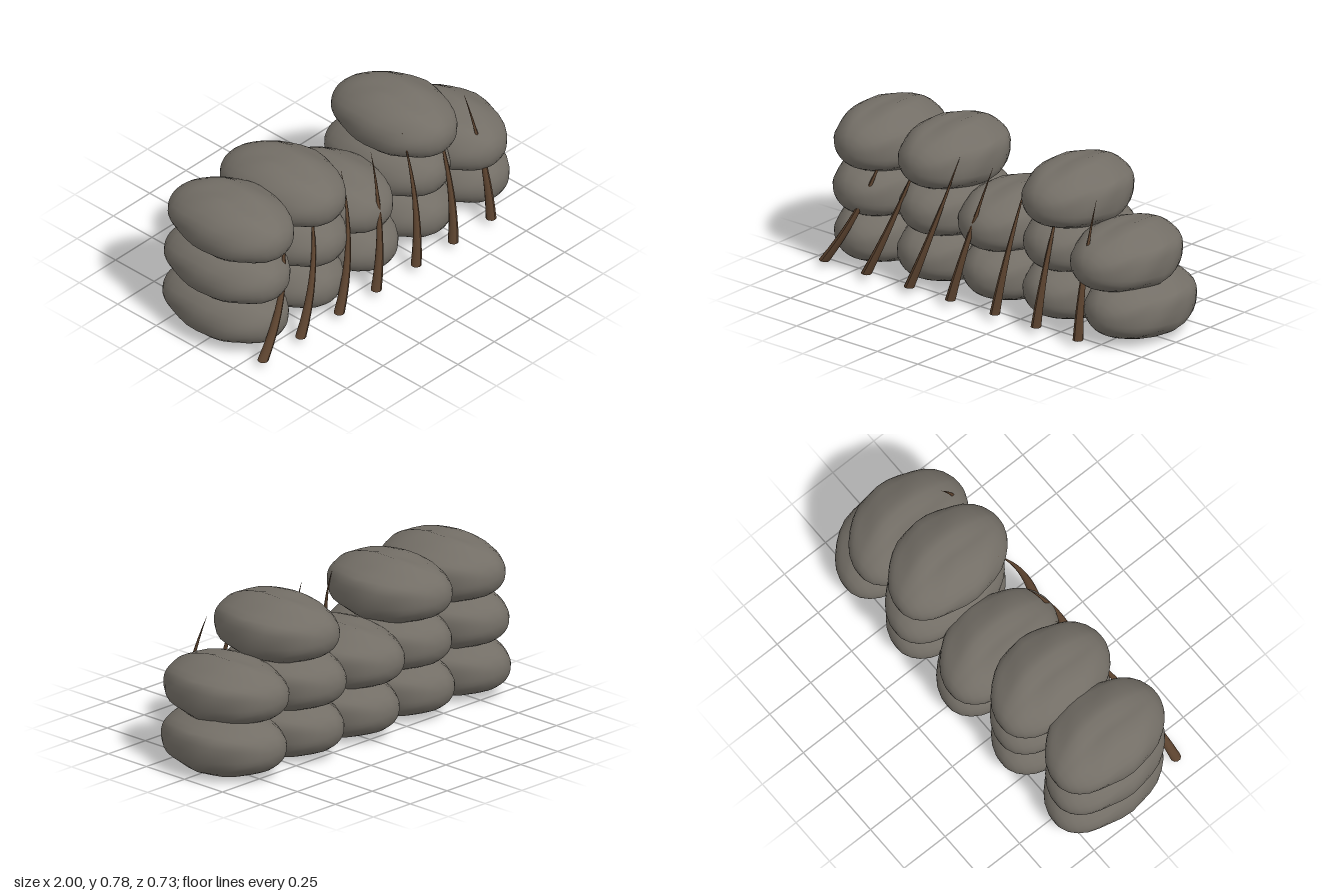
import * as THREE from 'three';
import { mergeVertices } from 'three/addons/utils/BufferGeometryUtils.js';

const stone = new THREE.MeshStandardMaterial({ color: 0x736e66 });
stone.name = 'stone';
const wood = new THREE.MeshStandardMaterial({ color: 0x5c432f });
wood.name = 'wood';

// Lumpy outline of a boulder seen from the front, counter-clockwise from its right end
const OUTLINE = [
  [.228, -.01], [.225, .055], [.205, .082], [.135, .118], [.055, .158], [-.025, .142], [-.085, .150],
  [-.160, .118], [-.217, .065], [-.235, .005], [-.222, -.065], [-.165, -.115], [-.10, -.135],
  [0, -.150], [.07, -.155], [.13, -.145], [.19, -.115], [.222, -.085],
];

// Boulder: sphere with poles on z; the lumpy middle ring calms to an oval towards both ends
function boulderGeometry() {
  const curve = new THREE.CatmullRomCurve3(OUTLINE.map(([x, y]) => new THREE.Vector3(x, y, 0)), true);
  let g = new THREE.SphereGeometry(1, 30, 16).rotateX(Math.PI / 2);
  g.deleteAttribute('uv');
  g.deleteAttribute('normal');
  g = mergeVertices(g, 1e-4);
  const pos = g.attributes.position;
  const p = new THREE.Vector3(), oval = new THREE.Vector3();
  for (let i = 0; i < pos.count; i++) {
    const x = pos.getX(i), y = pos.getY(i), z = pos.getZ(i);
    const ring = Math.hypot(x, y);
    const angle = Math.atan2(y, x);
    curve.getPoint((angle / (2 * Math.PI) + 1) % 1, p);
    oval.set(0.225 * Math.cos(angle), 0.152 * Math.sin(angle), 0);
    p.lerp(oval, 0.8 * Math.abs(z));
    // small lumps, a fuller right shoulder and a back end that drifts left
    const lump = 1 + 0.03 * Math.sin(5 * angle + 6 * z) * Math.sin(3 * z) * ring;
    const taper = x > 0 ? 0.85 : 0.98;
    const back = Math.max(0, -z);
    pos.setXYZ(i,
      p.x * Math.pow(ring, taper) * lump - 0.045 * back * back,
      p.y * Math.pow(ring, 0.77) * lump - 0.012 * z * z,
      z * 0.325);
  }
  g.computeVertexNormals();
  return g;
}

// Stake: tapered spike bent through its foot, middle and tip
function stakeGeometry(foot, mid, tip) {
  const g = new THREE.CylinderGeometry(0.0005, 0.026, 1, 10, 10);
  const pos = g.attributes.position;
  const bend = (a, b, c, t) =>
    a * 2 * (t - 0.5) * (t - 1) - b * 4 * t * (t - 1) + c * 2 * t * (t - 0.5);
  for (let i = 0; i < pos.count; i++) {
    const t = pos.getY(i) + 0.5;
    pos.setXYZ(i,
      pos.getX(i) + bend(foot, mid, tip, t),
      0.035 + 0.655 * t - 0.5 * pos.getX(i) * (mid - foot),
      pos.getZ(i) + bend(0.338, 0.288, 0.18, t));
  }
  g.computeVertexNormals();
  return g;
}

export function createModel() {
  const model = new THREE.Group();
  model.name = 'stoneBarricade';

  // Three overlapping courses: height of the course, then [x, z] of each boulder
  const courses = [
    [0.157, [[-.765, -.01], [-.38, -.015], [.01, -.03], [.385, -.03], [.77, -.025]]],
    [0.392, [[-.765, .0], [-.365, -.01], [-.02, -.035], [.38, -.04], [.715, .012]]],
    [0.627, [[-.75, .01], [-.37, -.01], [.395, -.01]]],
  ];
  const rock = boulderGeometry();
  const wall = new THREE.Group();
  wall.name = 'boulderWall';
  courses.forEach(([y, row], r) => row.forEach(([x, z], c) => {
    const mesh = new THREE.Mesh(rock, stone);
    mesh.name = `boulder${r + 1}_${c + 1}`;
    mesh.position.set(x, y, z);
    wall.add(mesh);
  }));
  model.add(wall);

  // Leaning stakes along the front: x of foot, middle and tip
  const stakes = [
    [-.89, -.70, -.62], [-.63, -.49, -.41], [-.365, -.25, -.185], [-.11, -.035, .02],
    [.165, .21, .235], [.42, .445, .45], [.68, .675, .66],
  ];
  stakes.forEach((s, i) => {
    const mesh = new THREE.Mesh(stakeGeometry(...s), wood);
    mesh.name = `stake${i + 1}`;
    model.add(mesh);
  });
  return model;
}
